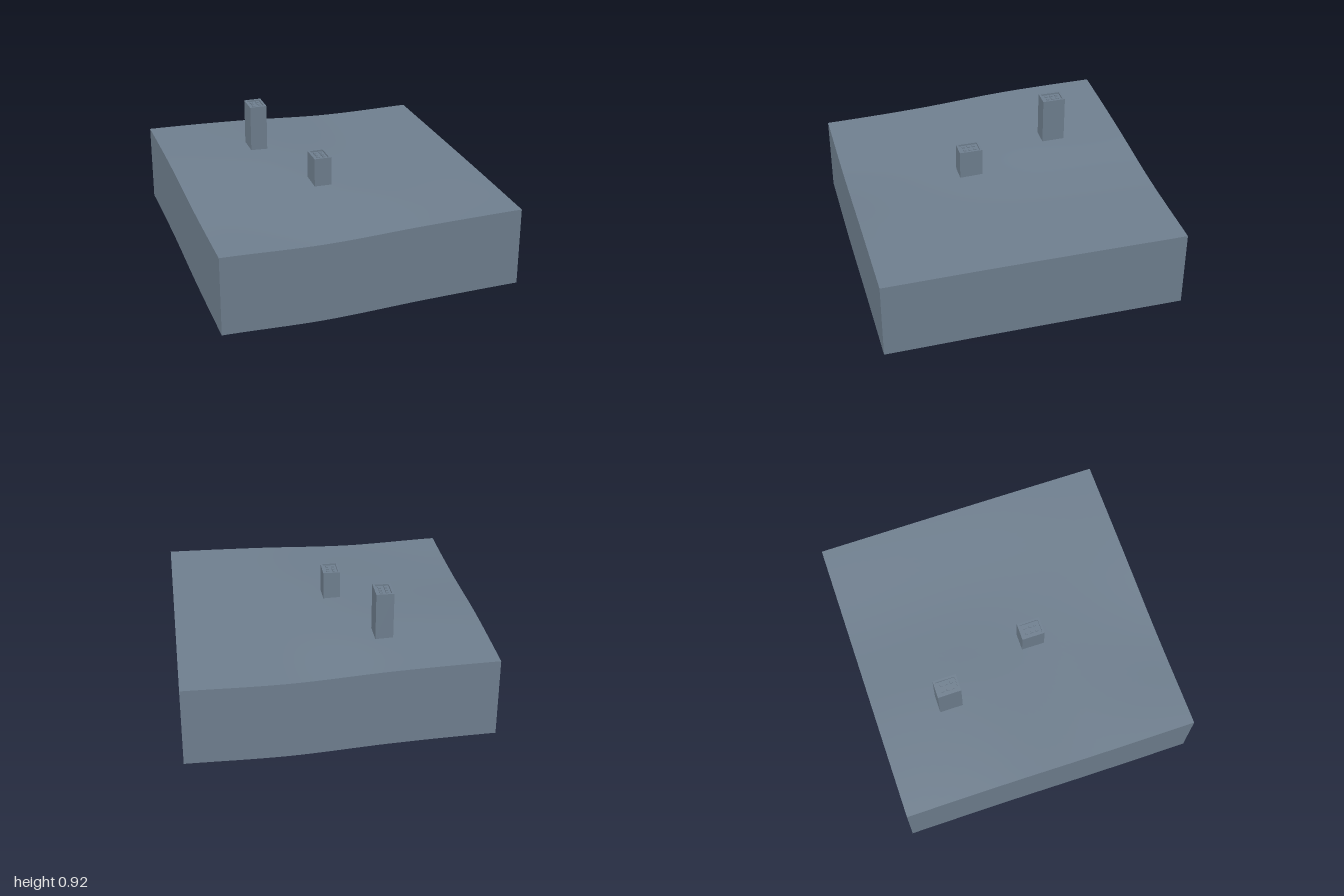
import * as THREE from 'three';

const DEPTH = 0.533; // height of the skirt walls

// Ground heights on a 4 x 4 control grid: rows from front to back, columns from x = -1 to x = 1
const HEIGHTS = [
  [0.555, 0.535, 0.555, 0.565],
  [0.572, 0.567, 0.561, 0.569],
  [0.612, 0.597, 0.565, 0.568],
  [0.622, 0.602, 0.564, 0.565],
];

// Smooth curve through four evenly spaced values, t from 0 to 1
function spline(p, t) {
  const s = Math.min(Math.max(t, 0), 1) * 3;
  const i = Math.min(Math.floor(s), 2), f = s - i;
  const a = p[Math.max(i - 1, 0)], b = p[i], c = p[i + 1], d = p[Math.min(i + 2, 3)];
  return b + 0.5 * f * (c - a + f * (2 * a - 5 * b + 4 * c - d + f * (3 * (b - c) + d - a)));
}

function groundHeight(x, z) {
  return spline(HEIGHTS.map((row) => spline(row, (x + 1) / 2)), (1 - z) / 2);
}

export function createModel() {
  const model = new THREE.Group();
  model.name = 'terrainBlock';
  const slate = new THREE.MeshStandardMaterial({ color: 0x708090, side: THREE.DoubleSide });
  slate.name = 'slateGrey';

  const add = (parent, geometry, name, x = 0, y = 0, z = 0) => {
    const mesh = new THREE.Mesh(geometry, slate);
    mesh.name = name;
    mesh.position.set(x, y, z);
    parent.add(mesh);
    return mesh;
  };

  // Rolling ground surface
  const ground = new THREE.PlaneGeometry(2, 2, 40, 40).rotateX(-Math.PI / 2);
  const g = ground.attributes.position;
  for (let i = 0; i < g.count; i++) g.setY(i, groundHeight(g.getX(i), g.getZ(i)));
  ground.computeVertexNormals();
  add(model, ground, 'ground');

  // Four skirt walls that follow the ground edge, open underneath
  ['frontWall', 'leftWall', 'backWall', 'rightWall'].forEach((name, side) => {
    const wall = new THREE.PlaneGeometry(2, 2, 40, 1).translate(0, 0, 1).rotateY(side * Math.PI / 2);
    const p = wall.attributes.position;
    for (let i = 0; i < p.count; i++) {
      const drop = p.getY(i) < 0 ? DEPTH : 0;
      p.setY(i, groundHeight(p.getX(i), p.getZ(i)) - drop);
    }
    add(model, wall, name);
  });

  // Towers with a parapet around a shallow flat roof
  const width = 0.117, length = 0.157, rim = 0.014, lip = 0.012;
  const towers = [
    { name: 'tallTower', x: -0.337, z: -0.5, base: 0.595, top: 0.92 },
    { name: 'shortTower', x: -0.087, z: 0.163, base: 0.565, top: 0.765 },
  ];
  const rectangle = (Type, w, l) => new Type([[-1, -1], [1, -1], [1, 1], [-1, 1]]
    .map(([a, b]) => new THREE.Vector2(a * w / 2, b * l / 2)));

  for (const { name, x, z, base, top } of towers) {
    const tower = new THREE.Group();
    tower.name = name;
    tower.position.set(x, 0, z);
    model.add(tower);

    const bodyHeight = top - lip - base;
    add(tower, new THREE.BoxGeometry(width, bodyHeight, length), 'towerBody', 0, base + bodyHeight / 2, 0);

    const outline = rectangle(THREE.Shape, width, length);
    outline.holes.push(rectangle(THREE.Path, width - 2 * rim, length - 2 * rim));
    const parapet = new THREE.ExtrudeGeometry(outline, { depth: lip, bevelEnabled: false }).rotateX(-Math.PI / 2);
    add(tower, parapet, 'parapet', 0, top - lip, 0);

    // Low rooftop units in two rows
    for (const ux of [-0.02, 0.02]) {
      for (const uz of [-0.035, 0, 0.035]) {
        add(tower, new THREE.BoxGeometry(0.018, 0.008, 0.02), 'roofUnit', ux, top - lip + 0.004, uz);
      }
    }
  }
  return model;
}
